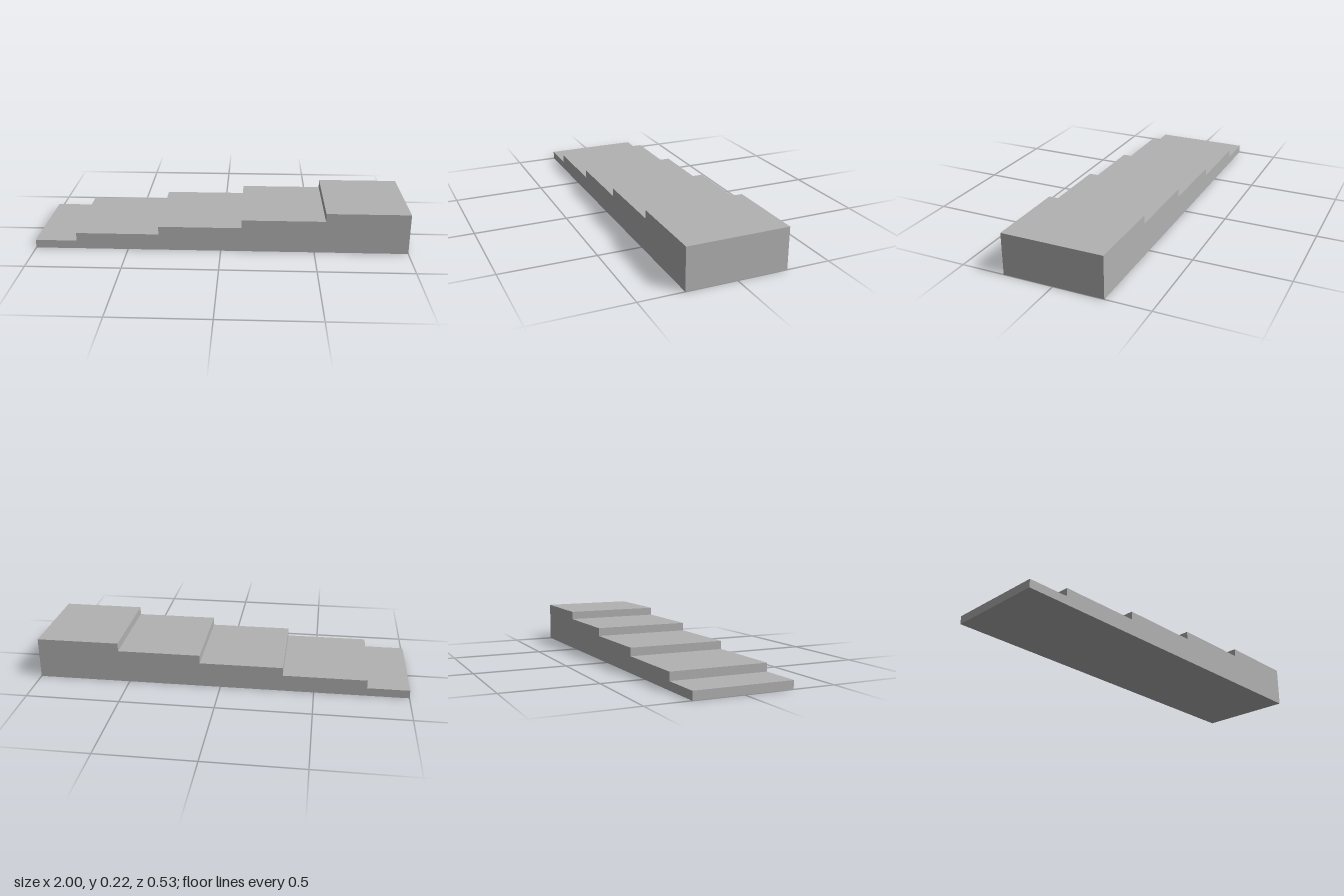
import * as THREE from 'three';

export function createModel() {
  const group = new THREE.Group();
  group.name = 'steppedRamp';
  const grey = new THREE.MeshStandardMaterial({ color: 0xb2b2b2 });
  grey.name = 'plain grey';

  // Stair profile: a half-length first tread, then four full treads
  const rise = 2 / 45, tread = 4 / 9, steps = 5, depth = 8 / 15;
  const profile = new THREE.Shape();
  profile.moveTo(-1, 0);
  profile.lineTo(1, 0);
  for (let i = steps; i >= 1; i--) {
    const right = 1 - (steps - i) * tread;
    const left = Math.max(-1, right - tread);
    profile.lineTo(right, i * rise);
    profile.lineTo(left, i * rise);
  }
  profile.closePath();

  // Solid staircase, centred front to back
  const geometry = new THREE.ExtrudeGeometry(profile, { depth, bevelEnabled: false });
  geometry.translate(0, 0, -depth / 2);
  const stairs = new THREE.Mesh(geometry, grey);
  stairs.name = 'stairs';
  group.add(stairs);
  return group;
}
